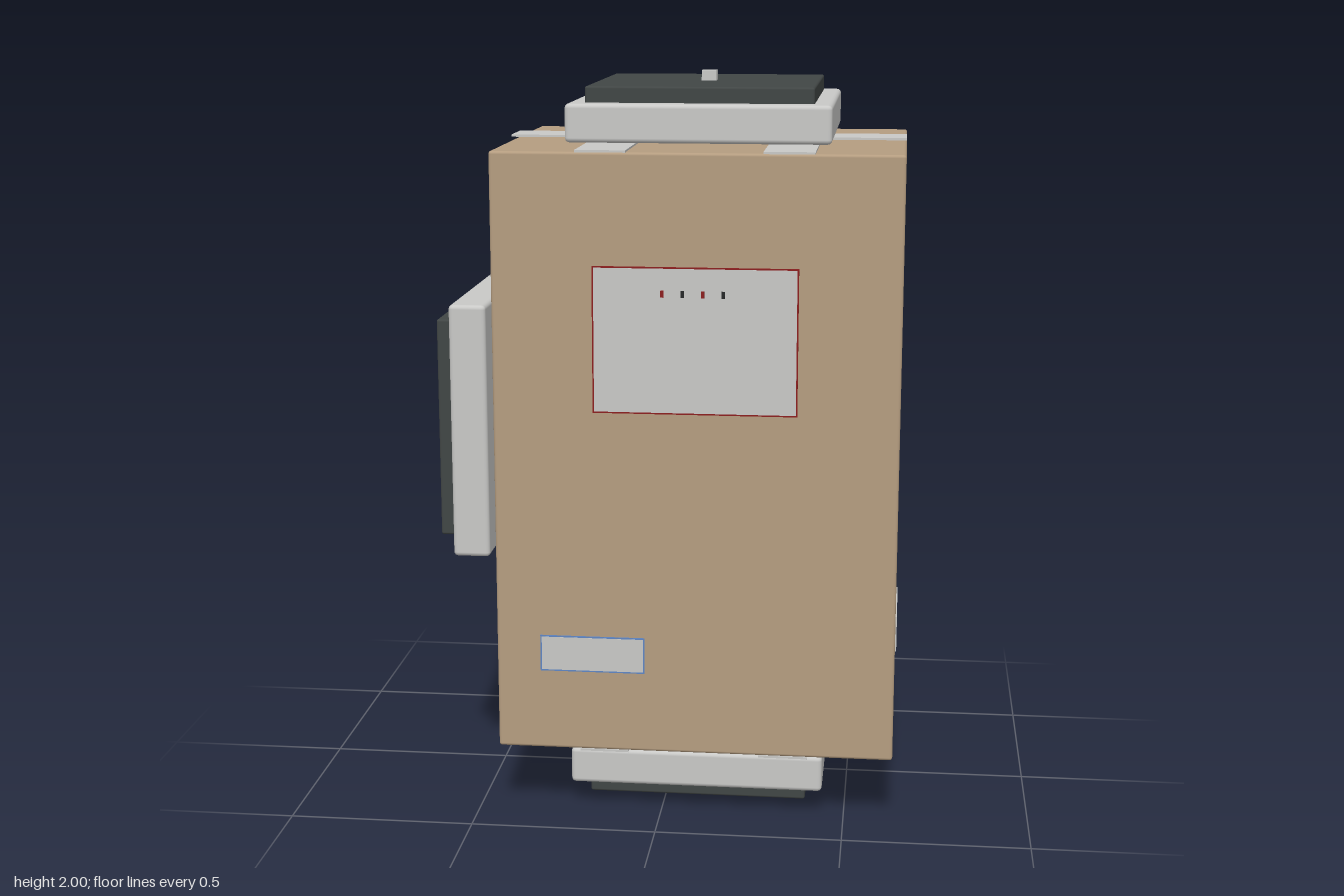
import * as THREE from 'three';
import { RoundedBoxGeometry } from 'three/addons/geometries/RoundedBoxGeometry.js';

const mat = (name, color) => {
  const m = new THREE.MeshStandardMaterial({ color });
  m.name = name;
  return m;
};

export function createModel() {
  const tan = mat('tan body', 0xb59d80);
  const grey = mat('light grey', 0xc9c9c7);
  const dark = mat('dark panel', 0x414645);
  const red = mat('red border', 0x8c1f1f);
  const blue = mat('blue border', 0x5f86c4);
  const black = mat('black marks', 0x262828);

  const CX = 0.095, CY = 1.003; // body centre
  const W = 1.07, H = 1.62, D = 0.8;
  const model = new THREE.Group();
  model.name = 'paddedCrate';

  const box = (parent, name, m, w, h, d, x, y, z, r = 0) => {
    const g = r ? new RoundedBoxGeometry(w, h, d, 2, r) : new THREE.BoxGeometry(w, h, d);
    const mesh = new THREE.Mesh(g, m);
    mesh.name = name;
    mesh.position.set(x, y, z);
    parent.add(mesh);
    return mesh;
  };

  // Main body
  box(model, 'body', tan, W, H, D, CX, CY, 0, 0.008);

  // Pad assembly: light base, dark plate and small knob, pointing along +y
  const addPad = (name, x, y, rotZ) => {
    const pad = new THREE.Group();
    pad.name = name;
    box(pad, 'padBase', grey, 0.69, 0.1, 0.69, 0, 0.05, 0, 0.012);
    box(pad, 'padPlate', dark, 0.595, 0.05, 0.595, 0, 0.117, 0, 0.006);
    box(pad, 'padKnob', grey, 0.04, 0.03, 0.04, 0, 0.154, 0);
    pad.position.set(x, y, 0);
    pad.rotation.z = rotZ;
    model.add(pad);
  };
  addPad('topPad', CX, 1.831, 0);
  addPad('bottomPad', CX, 0.172, Math.PI);
  addPad('sidePad', -0.467, 1.056, Math.PI / 2);

  // Crossing straps over the top and under the bottom
  for (const s of [1, -1]) {
    const end = s > 0 ? 'top' : 'bottom';
    for (const x of [-0.15, 0.335])
      box(model, end + 'CrossStrap', grey, 0.132, 0.006, D, x, CY + s * (H / 2 + 0.002), 0);
    box(model, end + 'LongStrap', grey, W, 0.006, 0.132, CX, CY + s * (H / 2 + 0.011), 0);
  }

  // Faces: local +z is outward, local origin on the surface at ground height
  const face = (name, x, z, rotY) => {
    const f = new THREE.Group();
    f.name = name;
    f.position.set(x, 0, z);
    f.rotation.y = rotY;
    model.add(f);
    return f;
  };
  const front = face('frontLabels', CX, D / 2, 0);
  const back = face('backLabels', CX, -D / 2, Math.PI);
  const left = face('leftLabels', CX + W / 2, 0, Math.PI / 2);
  const right = face('rightLabels', CX - W / 2, 0, -Math.PI / 2);

  // Thin label plate, with an optional border showing round its edge
  const label = (f, w, h, x, y, border) => {
    if (border) box(f, 'labelBorder', border, w, h, 0.004, x, y, 0.001);
    const t = border ? 0.008 : 0;
    box(f, 'label', grey, w - t, h - t, 0.006, x, y, 0.001);
  };
  const mark = (f, m, w, h, x, y) => box(f, 'labelMark', m, w, h, 0.003, x, y, 0.0045);

  label(front, 0.537, 0.388, 0, 1.326, red);
  label(back, 0.7, 0.49, 0, 1.276);
  label(front, 0.283, 0.1, -0.275, 0.465, blue);
  label(back, 0.283, 0.1, -0.275, 0.465);
  label(left, 0.283, 0.1, 0, 0.465);
  label(right, 0.283, 0.1, 0, 0.465);

  // Small plain marks on the labels
  for (let i = 0; i < 4; i++) mark(front, i % 2 ? black : red, 0.008, 0.018, -0.085 + i * 0.053, 1.45);
  for (const [x, h] of [[-0.293, 0.05], [-0.192, 0.075], [-0.17, 0.075], [0.045, 0.07]])
    mark(back, black, 0.01, h, x, 1.448 - h / 2);
  mark(back, blue, 0.03, 0.015, -0.208, 0.463);

  return model;
}
